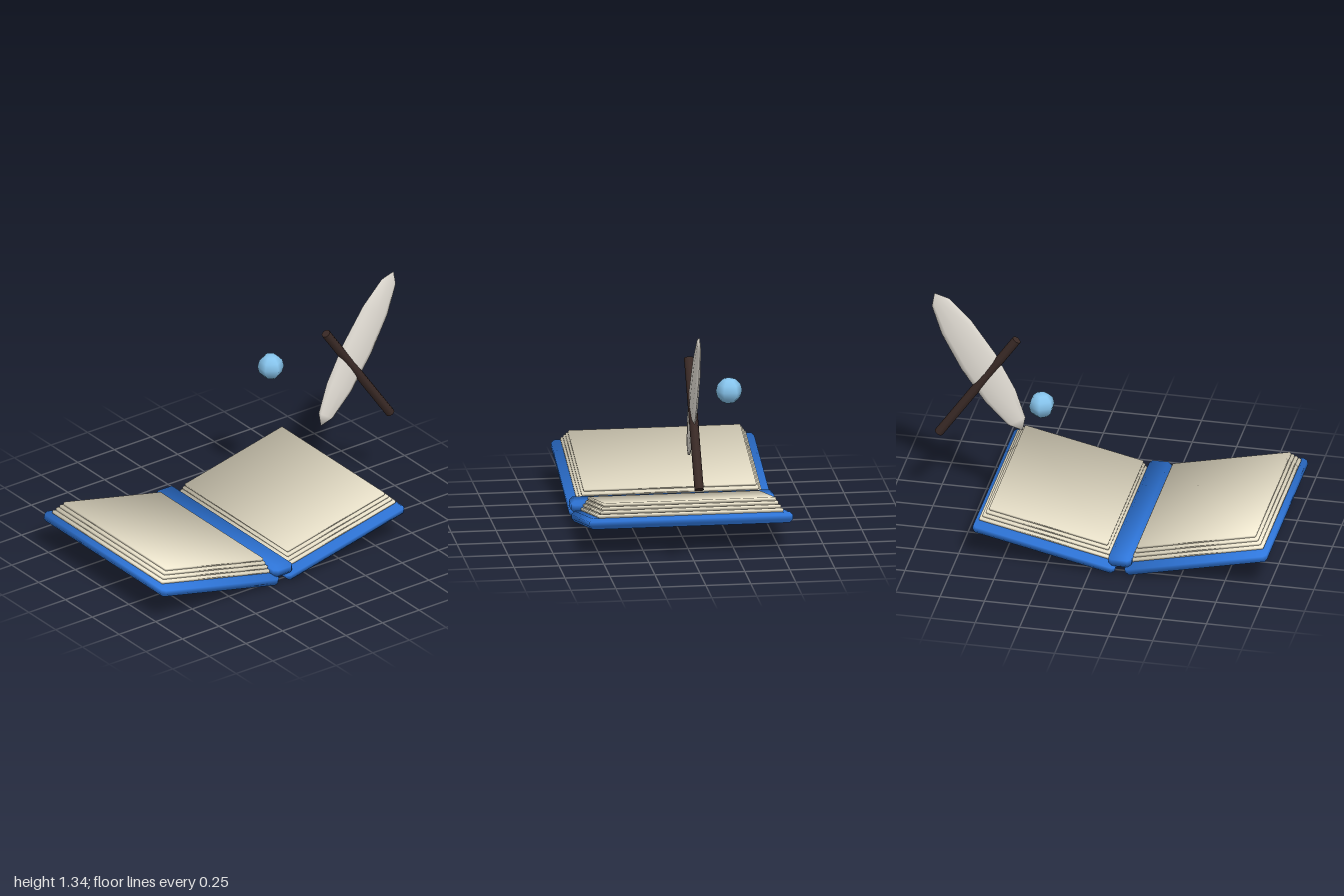
import * as THREE from 'three';
import { ConvexGeometry } from 'three/addons/geometries/ConvexGeometry.js';

const material = (color) => new THREE.MeshStandardMaterial({ color });

// Box with chamfered edges and soft, corner-averaged normals
function softBox(w, h, d, b) {
  const points = [];
  for (const x of [-1, 1]) for (const y of [-1, 1]) for (const z of [-1, 1]) {
    for (const [i, j, k] of [[0, b, b], [b, 0, b], [b, b, 0]]) {
      points.push(new THREE.Vector3(x * (w / 2 - i), y * (h / 2 - j), z * (d / 2 - k)));
    }
  }
  const geometry = new ConvexGeometry(points);
  const { position, normal } = geometry.attributes;
  const s = 1 / Math.sqrt(3);
  for (let i = 0; i < position.count; i++) {
    normal.setXYZ(i, s * Math.sign(position.getX(i)), s * Math.sign(position.getY(i)), s * Math.sign(position.getZ(i)));
  }
  return geometry;
}

export function createModel() {
  const model = new THREE.Group();
  model.name = 'openBookWithQuill';
  const blue = material(0x2f77dc);
  const cream = material(0xf0e8d0);

  const add = (parent, name, geometry, mat, x, y, z) => {
    const mesh = new THREE.Mesh(geometry, mat);
    mesh.name = name;
    mesh.position.set(x, y, z);
    parent.add(mesh);
    return mesh;
  };

  // Two tilted halves: cover with a stepped stack of pages
  const spineX = -0.167;
  for (const side of [-1, 1]) {
    const half = new THREE.Group();
    half.name = side > 0 ? 'leftHalf' : 'rightHalf';
    half.position.set(spineX + side * 0.428, 0.118, 0);
    half.rotation.z = side * 0.22;
    add(half, 'cover', softBox(0.82, 0.06, 1.13, 0.018), blue, 0, 0, 0);
    for (let i = 0; i < 4; i++) {
      add(half, 'pageLayer', softBox(0.76 - i * 0.025, 0.021, 1.03 - i * 0.023, 0.006),
        cream, side * 0.01, 0.04 + i * 0.02, 0);
    }
    model.add(half);
  }

  // Spine
  add(model, 'spine', softBox(0.13, 0.07, 1.135, 0.02), blue, spineX, 0.086, 0);

  // Feather: flattened low-sided ellipsoid
  const feather = add(model, 'feather', new THREE.SphereGeometry(1, 8, 6), material(0xe8e3da), 0.743, 0.941, 0);
  feather.scale.set(0.113, 0.475, 0.02);
  feather.rotation.z = -0.55;

  // Quill shaft crossing the feather
  const shaft = add(model, 'quillShaft', new THREE.CylinderGeometry(0.026, 0.026, 0.77, 8), material(0x3a2a26), 0.748, 0.787, 0);
  shaft.rotation.z = 0.607;

  // Floating orb
  const orb = add(model, 'orb', new THREE.SphereGeometry(0.074, 6, 6), material(0x87c5ee), 0.335, 0.853, -0.25);
  orb.rotation.y = Math.PI / 2;

  return model;
}
